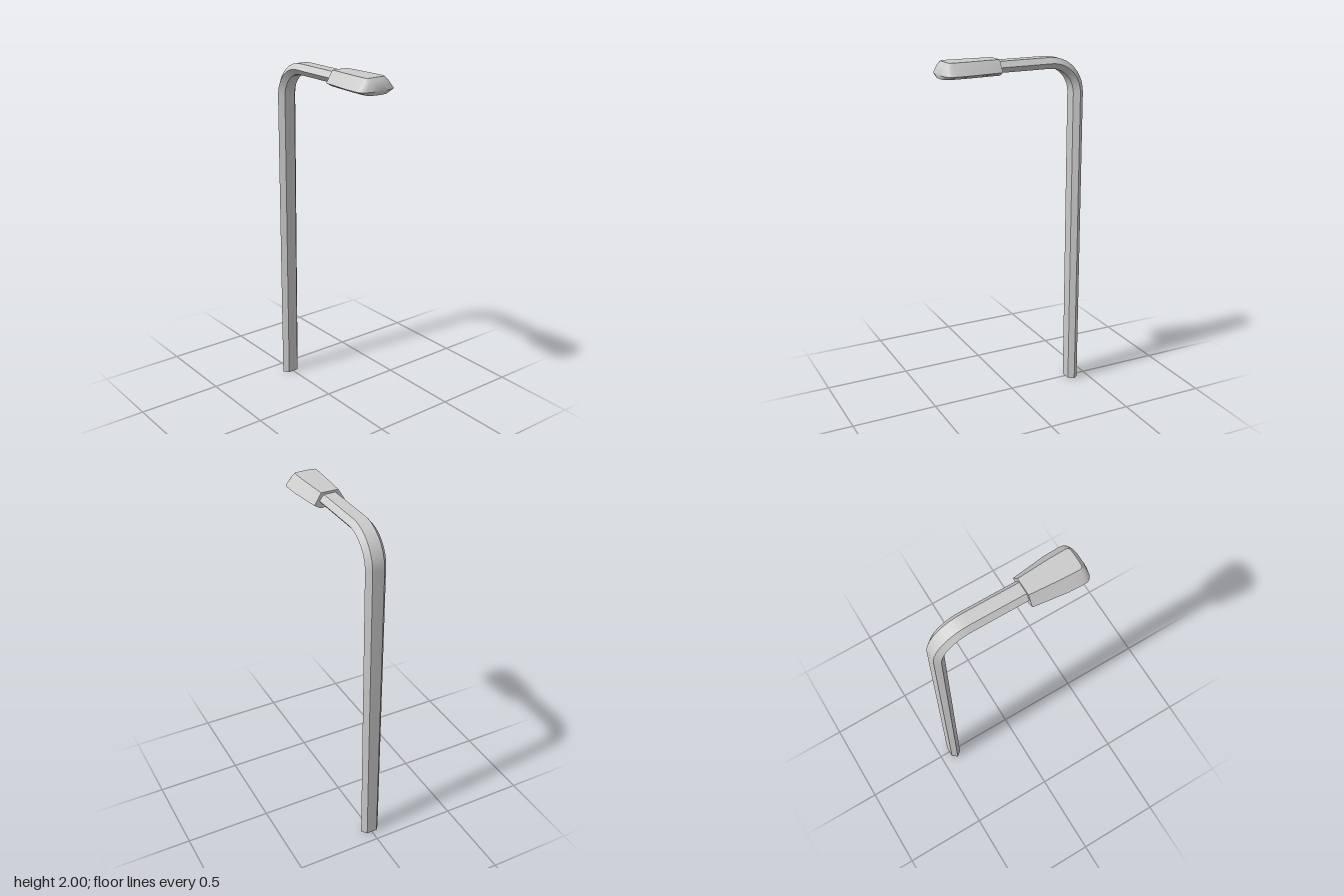
import * as THREE from 'three';
import { toCreasedNormals } from 'three/addons/utils/BufferGeometryUtils.js';

const material = new THREE.MeshStandardMaterial({ color: 0xcccccc });

// Skin a list of equal-length rings and close both ends with fans.
function loft(rings) {
  const n = rings[0].length;
  const points = rings.flat();
  const index = [];
  for (let i = 0; i < rings.length - 1; i++) {
    for (let j = 0; j < n; j++) {
      const a = i * n + j, b = i * n + (j + 1) % n;
      index.push(a, b, b + n, a, b + n, a + n);
    }
  }
  const cap = (start, flip) => {
    const centre = new THREE.Vector3();
    for (let j = 0; j < n; j++) centre.addScaledVector(points[start + j], 1 / n);
    const c = points.push(centre) - 1;
    for (let j = 0; j < n; j++) {
      const a = start + j, b = start + (j + 1) % n;
      if (flip) index.push(c, b, a);
      else index.push(c, a, b);
    }
  };
  cap(0, true);
  cap((rings.length - 1) * n, false);
  const geometry = new THREE.BufferGeometry().setFromPoints(points);
  geometry.setIndex(index);
  return toCreasedNormals(geometry, 0.6);
}

// Hexagonal section, turned by the bend angle t (0 = upright, PI/2 = forward).
function hexRing(y, z, t, scale = 1) {
  const section = [[0.06, 0], [0.034, 0.031], [-0.034, 0.031], [-0.06, 0], [-0.034, -0.031], [0.034, -0.031]];
  return section.map(([x, r]) =>
    new THREE.Vector3(x * scale, y + r * Math.sin(t), z - r * Math.cos(t)));
}

function createPole() {
  const rings = [hexRing(0, -0.404, 0, 0.94)];
  const steps = 10, radius = 0.178;
  for (let i = 0; i <= steps; i++) {
    const t = (i / steps) * Math.PI / 2;
    rings.push(hexRing(1.78 + radius * Math.sin(t), -0.22 - radius * Math.cos(t), t));
  }
  rings.push(hexRing(1.956, 0.13, Math.PI / 2));
  return loft(rings);
}

// Head outlines run from the nose back along the left side; mirrored for the right.
function createHead() {
  const bottom = [[0.025, 0.428], [0.048, 0.422], [0.064, 0.41], [0.07, 0.395], [0.072, 0.375], [0.07, 0.29], [0.055, 0.097]];
  const rim = [[0.04, 0.433], [0.085, 0.424], [0.106, 0.411], [0.115, 0.395], [0.117, 0.375], [0.114, 0.285], [0.09, 0.097]];
  const shoulder = [[0.03, 0.419], [0.06, 0.414], [0.073, 0.405], [0.08, 0.393], [0.082, 0.375], [0.08, 0.285], [0.063, 0.097]];
  const top = [[0.024, 0.397], [0.045, 0.396], [0.057, 0.393], [0.062, 0.386], [0.064, 0.375], [0.062, 0.285], [0.05, 0.097]];
  const ring = (half, y) => [
    ...half.map(([x, z]) => new THREE.Vector3(x, y, z)),
    ...half.map(([x, z]) => new THREE.Vector3(-x, y, z)).reverse(),
  ];
  return loft([ring(bottom, 1.915), ring(rim, 1.935), ring(shoulder, 1.979), ring(top, 2)]);
}

export function createModel() {
  const group = new THREE.Group();
  group.name = 'streetLamp';
  const add = (name, geometry) => {
    const mesh = new THREE.Mesh(geometry, material);
    mesh.name = name;
    group.add(mesh);
  };
  add('poleAndArm', createPole());
  add('lampHead', createHead());
  return group;
}
